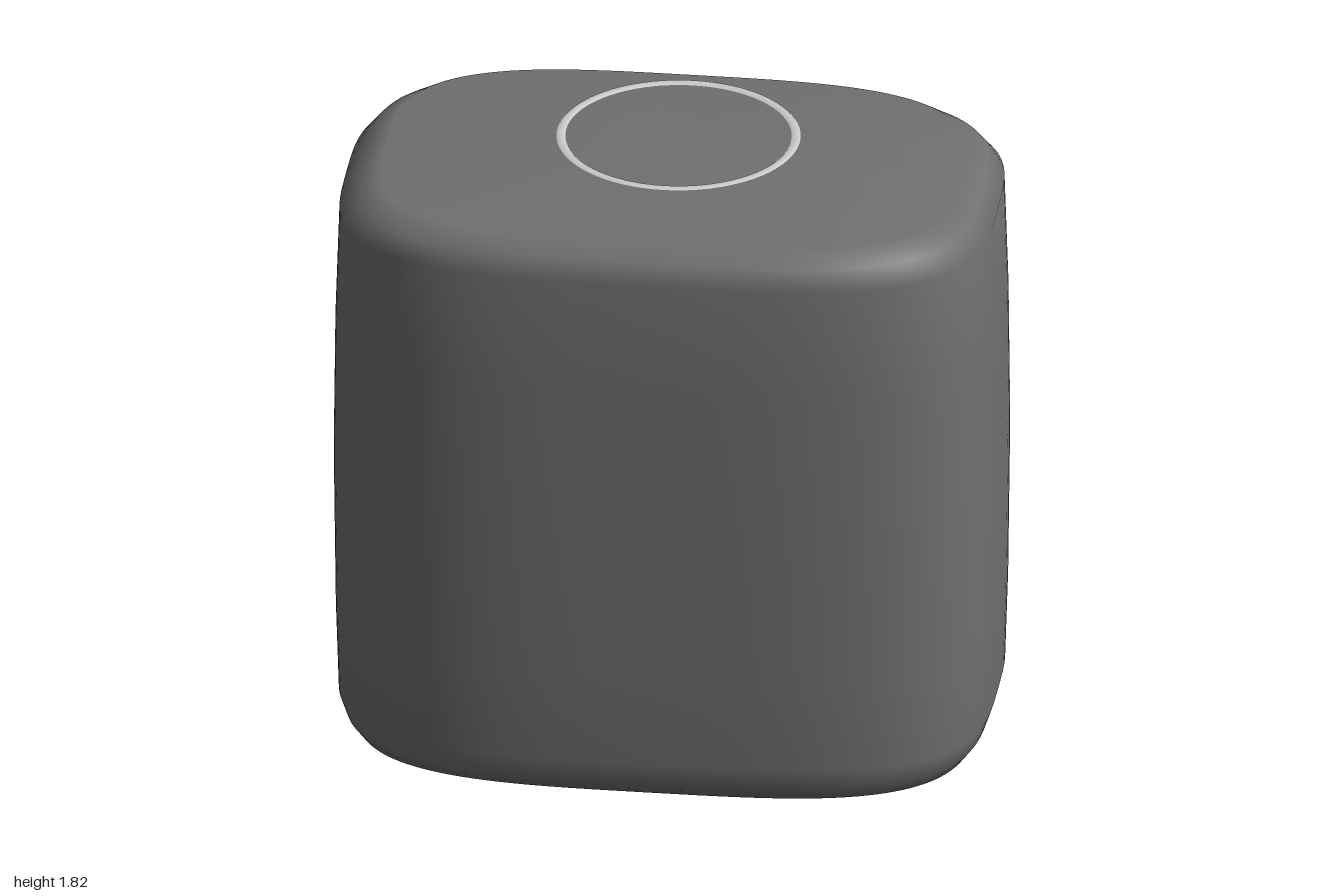
import * as THREE from 'three';
import { mergeVertices } from 'three/addons/utils/BufferGeometryUtils.js';

const bodyMat = new THREE.MeshStandardMaterial({ color: 0x707070 });
const greyMat = new THREE.MeshStandardMaterial({ color: 0xcccccc });
const flapMat = new THREE.MeshStandardMaterial({ color: 0xa9b6c6, side: THREE.DoubleSide });
const v2 = (x, y) => new THREE.Vector2(x, y);

function add(group, name, geometry, material) {
  const mesh = new THREE.Mesh(geometry, material);
  mesh.name = name;
  group.add(mesh);
  return mesh;
}

// Lathe whose round section is squared off into a superellipse
function bodyGeometry(halfX, halfZ, centreZ, power) {
  const profile = [
    [0, 0], [0.93, 0], [0.963, 0.045], [0.985, 0.11], [0.994, 0.4],
    [1, 0.9], [0.995, 1.35], [0.983, 1.713], [0.935, 1.772], [0.86, 1.818], [0, 1.82],
  ].map(([r, y]) => v2(r, y));
  const lathe = new THREE.LatheGeometry(profile, 128);
  const p = lathe.attributes.position;
  const bend = (c) => Math.sign(c) * Math.abs(c) ** (2 / power);
  for (let i = 0; i < p.count; i++) {
    const x = p.getX(i), z = p.getZ(i), r = Math.hypot(x, z);
    if (r < 1e-6) {
      p.setXYZ(i, 0, p.getY(i), centreZ);
      continue;
    }
    p.setX(i, halfX * r * bend(x / r));
    p.setZ(i, centreZ + halfZ * r * bend(z / r));
  }
  lathe.deleteAttribute('uv');
  lathe.deleteAttribute('normal');
  const welded = mergeVertices(lathe, 1e-4);
  welded.computeVertexNormals();
  return welded;
}

function rectangle(Type, halfW, y0, y1) {
  return new Type([v2(-halfW, y0), v2(halfW, y0), v2(halfW, y1), v2(-halfW, y1)]);
}

export function createModel() {
  const model = new THREE.Group();
  model.name = 'dispenser';

  add(model, 'body', bodyGeometry(1, 0.655, 0.013, 3.4), bodyMat);

  // Thin trim ring set in the top
  const ringProfile = [[0.37, 1.815], [0.362, 1.823], [0.343, 1.823], [0.334, 1.815]];
  const ring = add(model, 'topRing',
    new THREE.LatheGeometry(ringProfile.map(([r, y]) => v2(r, y)), 72), greyMat);
  ring.position.z = -0.143;

  // Rectangular frame around the rear slot
  const frame = rectangle(THREE.Shape, 0.368, 1.045, 1.306);
  frame.holes.push(rectangle(THREE.Path, 0.337, 1.078, 1.274));
  const frameMesh = add(model, 'slotFrame',
    new THREE.ExtrudeGeometry(frame, { depth: 0.018, bevelEnabled: false }), bodyMat);
  frameMesh.position.z = -0.65;

  // Flap leaning out of the slot: wedge section swept along x
  const wedge = new THREE.Shape([v2(0.625, 1.19), v2(0.643, 1.18), v2(0.67, 1.05), v2(0.625, 1.05)]);
  const flap = new THREE.ExtrudeGeometry(wedge, { depth: 0.67, bevelEnabled: false });
  flap.translate(0, 0, -0.335).rotateY(Math.PI / 2);
  add(model, 'slotFlap', flap, flapMat);

  // Pointed tails hanging below both ends of the flap
  for (const side of [-1, 1]) {
    const tail = new THREE.Shape([v2(side * 0.335, 1.06), v2(side * 0.265, 1.06), v2(side * 0.325, 0.76)]);
    const mesh = add(model, side > 0 ? 'leftTail' : 'rightTail', new THREE.ShapeGeometry(tail), flapMat);
    mesh.position.z = -0.644;
  }

  return model;
}
